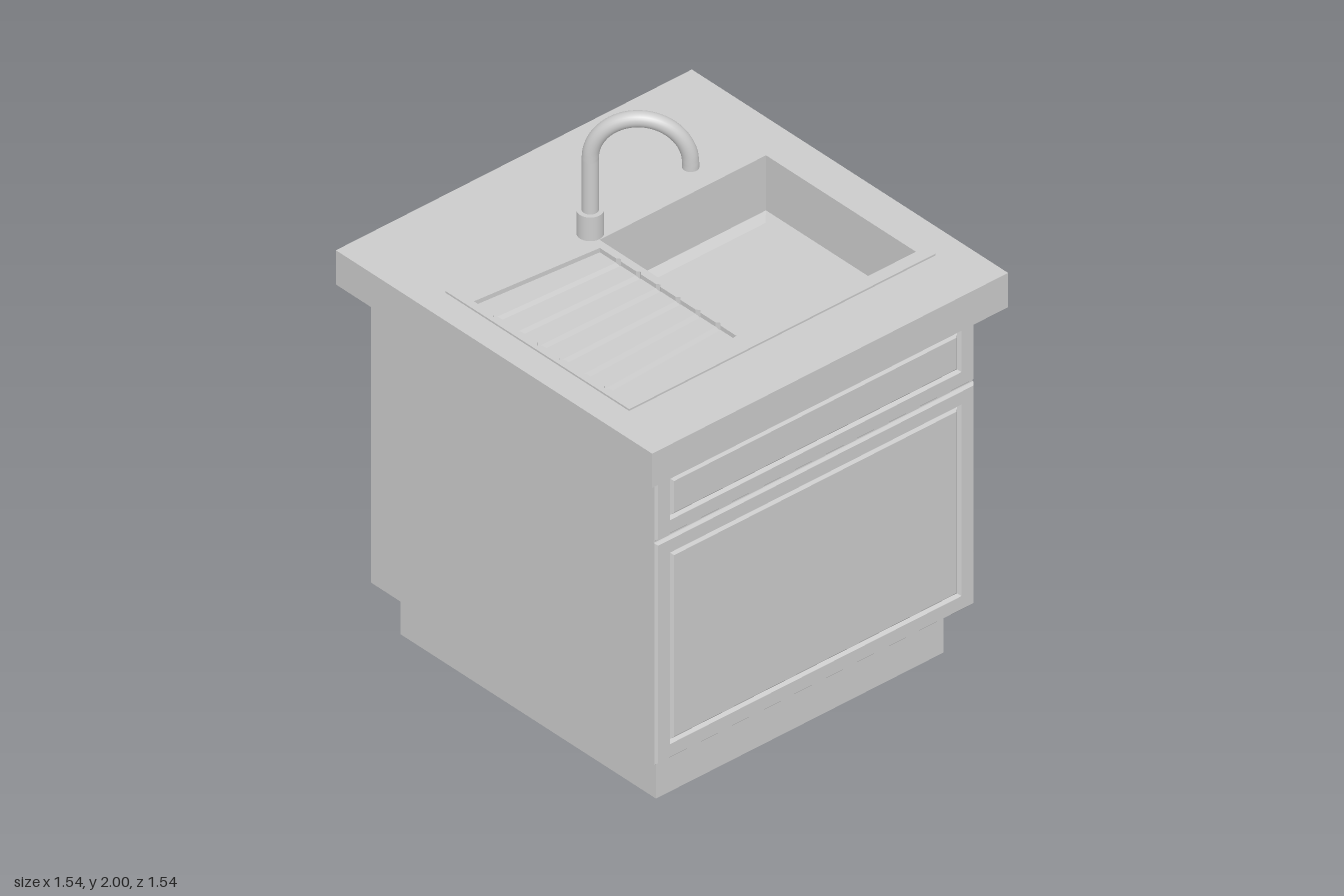
import * as THREE from 'three';

const grey = new THREE.MeshStandardMaterial({ color: 0xcccccc });
const greyTwoSided = new THREE.MeshStandardMaterial({ color: 0xcccccc, side: THREE.DoubleSide });

function part(name, geometry, material = grey) {
  const mesh = new THREE.Mesh(geometry, material);
  mesh.name = name;
  return mesh;
}

// Box between two corners, leaving out sides (0..5 = +x -x +y -y +z -z)
function boxWithout(min, max, skip) {
  const g = new THREE.BoxGeometry(...max.map((v, i) => v - min[i]));
  g.translate(...max.map((v, i) => (v + min[i]) / 2));
  const index = Array.from(g.index.array);
  g.setIndex(index.filter((_, i) => !skip.includes(Math.floor(i / 6))));
  g.clearGroups();
  return g;
}

// Flat-shaded geometry from four-cornered faces
function fromQuads(quads) {
  const pos = [];
  for (const [a, b, c, d] of quads) pos.push(...a, ...b, ...c, ...a, ...c, ...d);
  const g = new THREE.BufferGeometry();
  g.setAttribute('position', new THREE.Float32BufferAttribute(pos, 3));
  g.computeVertexNormals();
  return g;
}

// Nested rectangles facing +z, outermost first: steps are [inset, z]; the last is filled
function steppedPanel(x0, x1, y0, y1, steps) {
  const rings = steps.map(([s, z]) => [
    [x0 + s, y0 + s, z], [x1 - s, y0 + s, z], [x1 - s, y1 - s, z], [x0 + s, y1 - s, z],
  ]);
  const quads = [rings[rings.length - 1]];
  for (let r = 0; r < rings.length - 1; r++) {
    for (let i = 0; i < 4; i++) {
      const j = (i + 1) % 4;
      quads.push([rings[r][i], rings[r][j], rings[r + 1][j], rings[r + 1][i]]);
    }
  }
  return fromQuads(quads);
}

// Outline in x and z, turned into shape coordinates
const outline = (pts) => pts.map(([x, z]) => new THREE.Vector2(x, -z));
const rect = (x0, x1, z0, z1) => outline([[x0, z0], [x0, z1], [x1, z1], [x1, z0]]);

// Horizontal slab with holes between two heights
function slab(points, holes, y0, y1) {
  const shape = new THREE.Shape(points);
  shape.holes = holes.map((h) => new THREE.Path(h));
  return new THREE.ExtrudeGeometry(shape, { depth: y1 - y0, bevelEnabled: false })
    .rotateX(-Math.PI / 2)
    .translate(0, y0, 0);
}

// Draining grooves: z at the left and right end of each
const grooves = [0, 1, 2, 3, 4, 5].map((i) => [-0.143 + i * 0.108, -0.114 + i * 0.0968]);
const HALF = 0.012;

function createSink() {
  const sink = new THREE.Group();
  sink.name = 'sink';

  // Tapered recess whose two ends are notched by the grooves
  const recess = [[-0.635, -0.25]];
  for (const [z] of grooves) recess.push([-0.635, z - HALF], [-0.647, z], [-0.635, z + HALF]);
  recess.push([-0.635, 0.505], [-0.13, 0.46]);
  for (const [, z] of [...grooves].reverse()) recess.push([-0.13, z + HALF], [-0.12, z], [-0.13, z - HALF]);
  recess.push([-0.13, -0.205]);
  sink.add(part('sinkRim', slab(
    rect(-0.665, 0.66, -0.355, 0.54),
    [outline(recess), rect(-0.1, 0.62, -0.24, 0.49)], 1.475, 1.512)));

  // Drainboard floor with V grooves
  const top = 1.495, low = 1.481;
  const profile = [[-0.26, -0.215, top]];
  for (const [l, r] of grooves) {
    profile.push([l - HALF, r - HALF, top], [l, r, low], [l + HALF, r + HALF, top]);
  }
  profile.push([0.515, 0.47, top]);
  const quads = [];
  for (let i = 0; i < profile.length - 1; i++) {
    const [l0, r0, y0] = profile[i], [l1, r1, y1] = profile[i + 1];
    quads.push([[-0.65, y0, l0], [-0.65, y1, l1], [-0.118, y1, r1], [-0.118, y0, r0]]);
  }
  sink.add(part('drainboard', fromQuads(quads), greyTwoSided));

  // Basin with straight walls and a chamfer around its floor
  const basin = steppedPanel(-0.1, 0.62, -0.49, 0.24, [[0, 1.48], [0, 1.295], [0.025, 1.27]]);
  sink.add(part('basin', basin.rotateX(-Math.PI / 2), greyTwoSided));
  return sink;
}

function createFaucet() {
  const faucet = new THREE.Group();
  faucet.name = 'faucet';
  const radius = 0.163, pipe = 0.028, bendY = 1.809, endY = 1.79;

  const base = part('faucetBase', new THREE.CylinderGeometry(0.045, 0.045, 0.1, 32));
  base.position.y = 1.555;

  // Straight riser, half-circle bend and short drop
  const path = new THREE.CurvePath();
  const pts = [];
  for (let i = 0; i <= 16; i++) {
    const a = Math.PI * (1 - i / 16);
    pts.push(new THREE.Vector3(radius + radius * Math.cos(a), bendY + radius * Math.sin(a), 0));
  }
  const end = new THREE.Vector3(2 * radius, endY, 0);
  path.add(new THREE.LineCurve3(new THREE.Vector3(0, 1.55, 0), pts[0]));
  path.add(new THREE.CatmullRomCurve3(pts));
  path.add(new THREE.LineCurve3(pts[16], end));
  const spout = part('spout', new THREE.TubeGeometry(path, 72, pipe, 24));
  const cap = part('spoutEnd', new THREE.CircleGeometry(pipe, 24).rotateX(Math.PI / 2));
  cap.position.copy(end);

  faucet.add(base, spout, cap);
  faucet.position.set(-0.098, 0, -0.288);
  faucet.rotation.y = -Math.atan2(0.236, 0.228);
  return faucet;
}

export function createModel() {
  const model = new THREE.Group();
  model.name = 'sinkCabinet';

  // Plinth is a thin frame open underneath; the cabinet is open under the worktop
  model.add(part('plinth', boxWithout([-0.622, 0, -0.622], [0.622, 0.2, 0.622], [2, 3]), greyTwoSided));
  model.add(part('cabinet', boxWithout([-0.69, 0.2, -0.69], [0.69, 1.37, 0.687], [2])));

  // Drawer front and door: bevelled edge, grooved border and inner panel
  const steps = [[0, 0.686], [0, 0.692], [0.008, 0.7], [0.059, 0.7], [0.069, 0.689], [0.079, 0.698]];
  model.add(part('drawerFront', steppedPanel(-0.69, 0.69, 1.083, 1.365, steps)));
  model.add(part('door', steppedPanel(-0.69, 0.69, 0.2, 1.073, steps)));

  // Worktop with a cut-out for the sink
  model.add(part('worktop', slab(
    rect(-0.77, 0.77, -0.77, 0.77), [rect(-0.655, 0.64, -0.32, 0.525)], 1.37, 1.505)));

  model.add(createSink(), createFaucet());
  return model;
}
